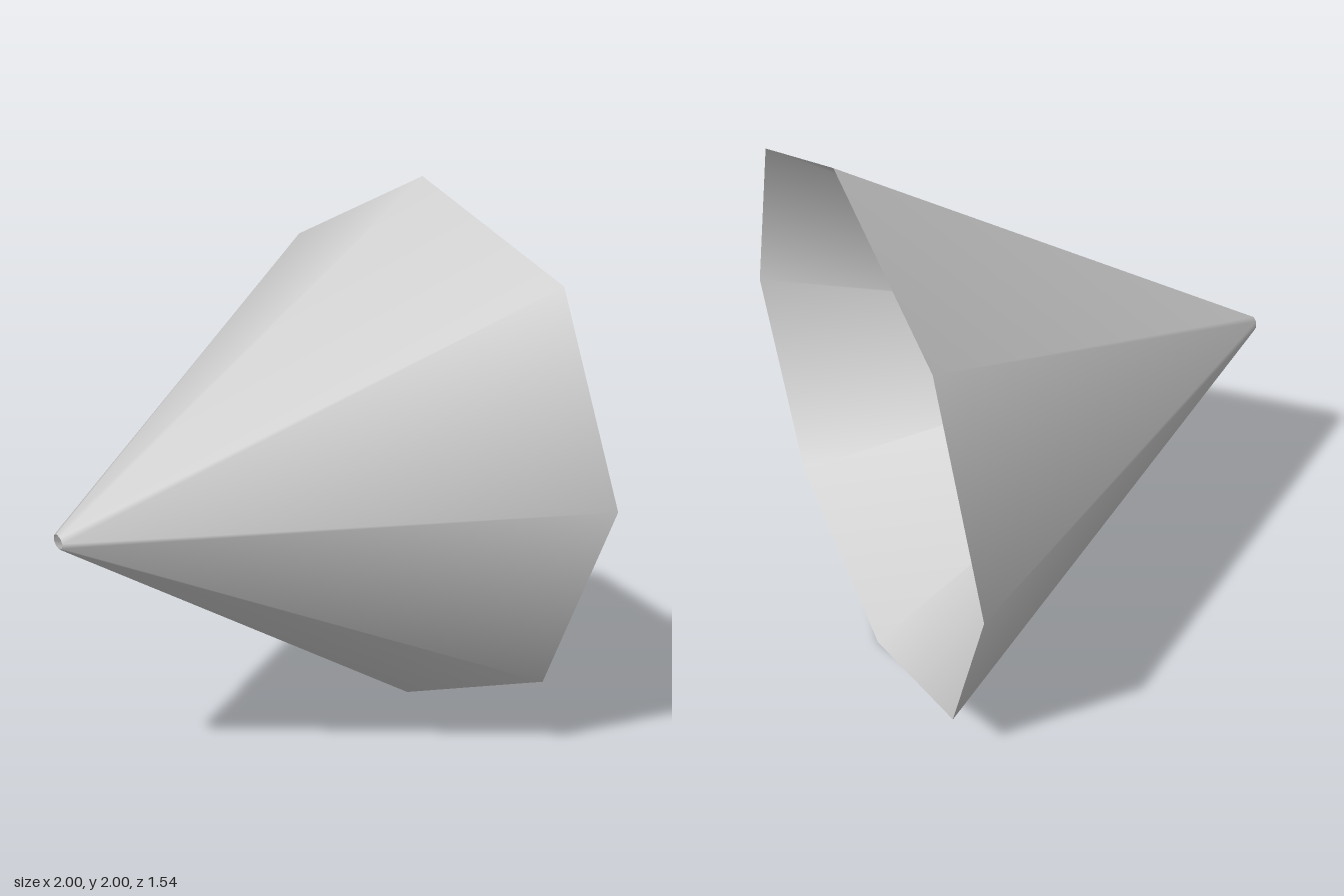
import * as THREE from 'three';
import { mergeVertices } from 'three/addons/utils/BufferGeometryUtils.js';

export function createModel() {
  const group = new THREE.Group();
  group.name = 'openCone';

  const lightGrey = new THREE.MeshStandardMaterial({ color: 0xcccccc, side: THREE.DoubleSide });
  lightGrey.name = 'lightGrey';

  // Eight-sided shell, open at the wide back and at the tiny front hole
  const halfDepth = 0.77;
  const tipRadius = 0.027;
  const shell = new THREE.LatheGeometry(
    [new THREE.Vector2(1, -halfDepth), new THREE.Vector2(tipRadius, halfDepth)], 8);
  shell.rotateX(Math.PI / 2); // point the tip to the front

  // Drop the tip slightly below the centre and tilt its rim
  const pos = shell.attributes.position;
  for (let i = 0; i < pos.count; i++) {
    if (pos.getZ(i) > 0) {
      pos.setZ(i, halfDepth + pos.getY(i) * 0.17);
      pos.setY(i, pos.getY(i) - 0.063);
    }
  }
  shell.translate(0, 1, 0);

  // Weld the seam so the shading runs smoothly around the shell
  shell.deleteAttribute('uv');
  shell.deleteAttribute('normal');
  const smooth = mergeVertices(shell, 1e-4);
  smooth.computeVertexNormals();

  const mesh = new THREE.Mesh(smooth, lightGrey);
  mesh.name = 'coneShell';
  group.add(mesh);
  return group;
}
